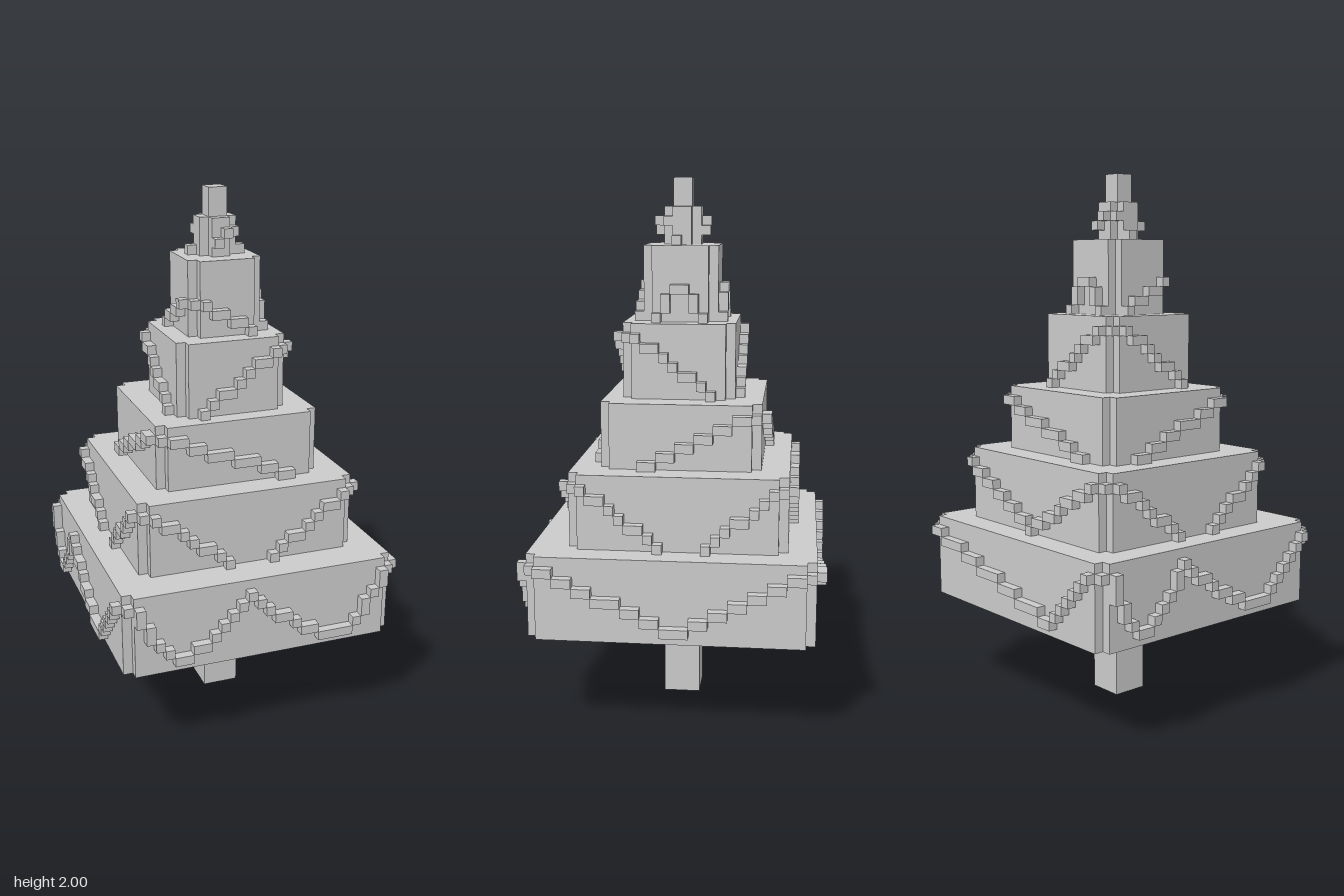
import * as THREE from 'three';
import { mergeGeometries } from 'three/addons/utils/BufferGeometryUtils.js';

// One block of the grid; all numbers below count blocks.
const U = 2 / 58;
const material = new THREE.MeshStandardMaterial({ color: 0xcccccc, flatShading: true });

function box(x0, x1, y0, y1, z0, z1) {
  return new THREE.BoxGeometry((x1 - x0) * U, (y1 - y0) * U, (z1 - z0) * U)
    .translate((x0 + x1) / 2 * U, (y0 + y1) / 2 * U, (z0 + z1) / 2 * U);
}

function add(parent, name, geometry) {
  const mesh = new THREE.Mesh(geometry, material);
  mesh.name = name;
  parent.add(mesh);
}

// Square slab with a one-block notch at each corner.
function slab(h, zFront, y0, y1) {
  const b = -zFront, t = h;
  const shape = new THREE.Shape();
  const outline = [[1 - h, b], [h - 1, b], [h - 1, b + 1], [h, b + 1], [h, t - 1], [h - 1, t - 1],
    [h - 1, t], [1 - h, t], [1 - h, t - 1], [-h, t - 1], [-h, b + 1], [1 - h, b + 1]];
  shape.setFromPoints(outline.map(([x, y]) => new THREE.Vector2(x * U, y * U)));
  return new THREE.ExtrudeGeometry(shape, { depth: (y1 - y0) * U, bevelEnabled: false })
    .rotateX(-Math.PI / 2).translate(0, y0 * U, 0);
}

// Columns alternate peak, low, peak...; each span becomes a stair of blocks.
function stairs(columns, low, peak, sag) {
  const cells = new Map();
  for (let i = 0; i + 1 < columns.length; i++) {
    const [top, bottom] = i % 2 ? [columns[i + 1], columns[i]] : [columns[i], columns[i + 1]];
    const n = Math.abs(top - bottom);
    let previous = low;
    for (let k = 0; k <= n; k++) {
      const row = Math.round(low + (peak - low) * (k / n) ** sag);
      const from = Math.min(row, previous + 1);
      const column = bottom + k * Math.sign(top - bottom);
      const from0 = cells.get(column)?.[0] ?? from;
      cells.set(column, [Math.max(from0, from), row + 1]);
      previous = row;
    }
  }
  return cells;
}

// A tier: notched slab, garland runs [face, columns, sag] and filled corner notches.
function tier({ h, zFront = h, y0, y1, low, peak, corners }, runs) {
  const group = new THREE.Group();
  group.name = 'tier';
  const place = {
    front: (s, a, b) => box(s, s + 1, a, b, zFront, zFront + 1),
    back: (s, a, b) => box(s, s + 1, a, b, -h - 1, -h),
    left: (s, a, b) => box(h, h + 1, a, b, s, s + 1),
    right: (s, a, b) => box(-h - 1, -h, a, b, s, s + 1),
  };
  const parts = [];
  for (const [face, columns, sag = 1] of runs)
    for (const [s, [a, b]] of stairs(columns, low, peak, sag)) parts.push(place[face](s, a, b));
  for (const [sx, sz] of corners) {
    const x = sx > 0 ? h - 1 : -h, z = sz > 0 ? zFront - 1 : -h;
    parts.push(box(x, x + 1, peak, peak + 1, z, z + 1));
  }
  add(group, 'foliage', slab(h, zFront, y0, y1));
  add(group, 'garland', mergeGeometries(parts));
  return group;
}

export function createModel() {
  const model = new THREE.Group();
  model.name = 'tieredTree';
  const diagonal = [[-1, 1], [1, -1]];
  const otherDiagonal = [[1, 1], [-1, -1]];
  const all = [...diagonal, ...otherDiagonal];

  add(model, 'trunk', box(-2, 2, 0, 11, -2, 2));

  // Tiers from bottom to top
  model.add(tier({ h: 15, y0: 11, y1: 20, low: 12, peak: 18, corners: all }, [
    ['front', [-14, -10, -2, 8, 13], 1.6],
    ['left', [13, -1, -14]],
    ['back', [13, -8, -14]],
    ['right', [-14, -11, -5, 6, 13], 1.5],
  ]));
  model.add(tier({ h: 12, zFront: 11, y0: 20, y1: 28, low: 20, peak: 26, corners: all }, [
    ['front', [-11, -3]], ['front', [10, 2]],
    ['left', [-11, -4]], ['left', [9, 1]],
    ['back', [-11, -1, 10]],
    ['right', [-11, -3]], ['right', [9, 2]],
  ]));
  model.add(tier({ h: 9, zFront: 8, y0: 28, y1: 35, low: 28, peak: 33, corners: diagonal }, [
    ['front', [-8, 5]], ['left', [-8, 3]], ['back', [7, -6]], ['right', [6, -6]],
  ]));
  model.add(tier({ h: 6, y0: 35, y1: 43, low: 35, peak: 41, corners: otherDiagonal }, [
    ['front', [4, -4]], ['left', [4, -4]], ['back', [-5, 3]], ['right', [-5, 3]],
  ]));
  model.add(tier({ h: 4, y0: 43, y1: 51, low: 43, peak: 46, corners: [[-1, 1]] }, [
    ['front', [-3, 2]],
    ['left', [-1, -3]], ['left', [0, 2]],
    ['back', [-1, -3]], ['back', [0, 2]],
    ['right', [2, -3]],
  ]));

  // Crown: a small tier wound by a short spiral, then the tip
  model.add(tier({ h: 2, y0: 51, y1: 55, low: 52, peak: 53, corners: otherDiagonal }, [
    ['front', [0, -1]], ['back', [-1, 0]],
  ]));
  add(model, 'crownBlockLeft', box(2, 3, 51, 52, 0, 1));
  add(model, 'crownBlockRight', box(-3, -2, 51, 52, -1, 0));
  add(model, 'tip', box(-1, 1, 55, 58, -1, 1));
  return model;
}
